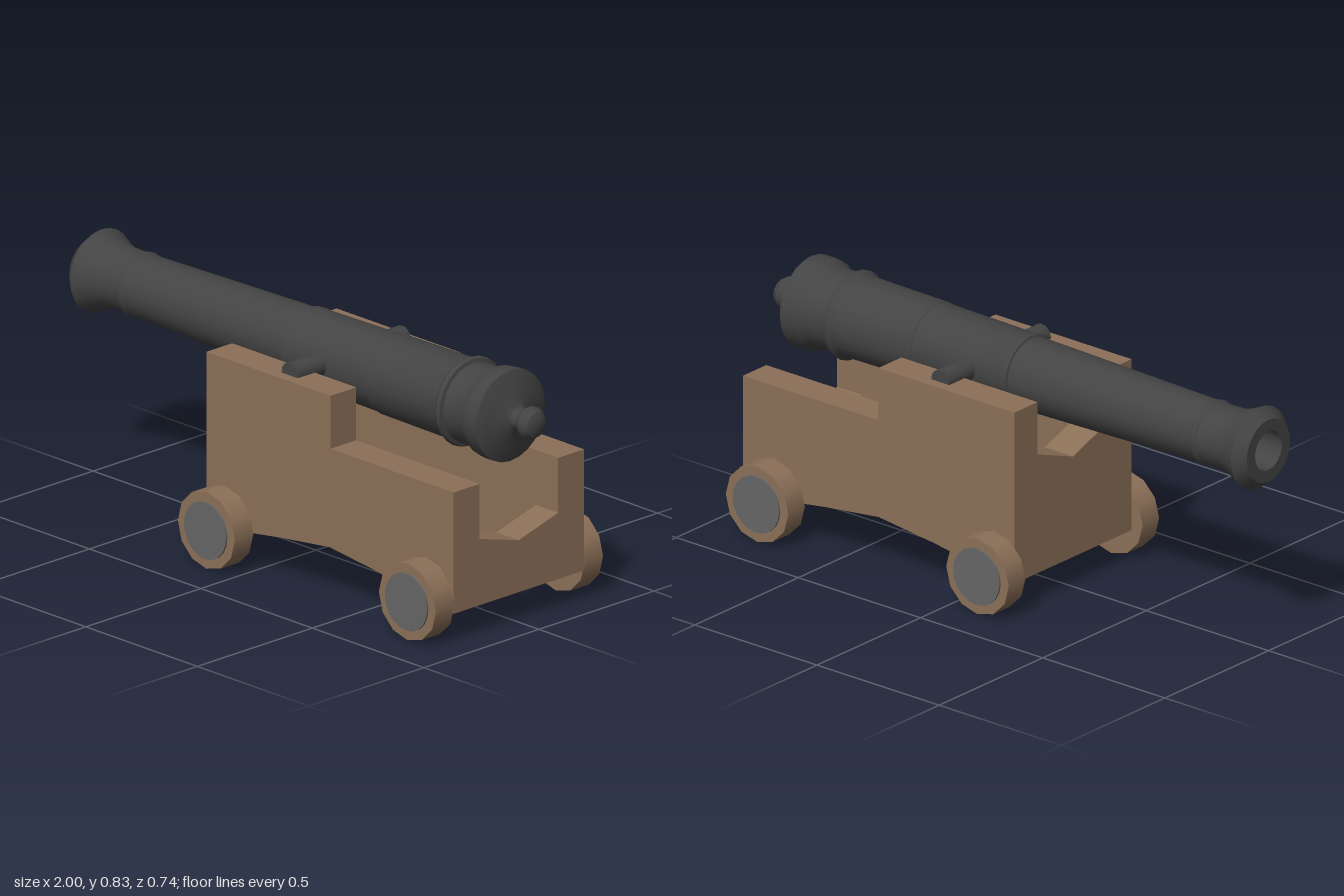
import * as THREE from 'three';
import { toCreasedNormals } from 'three/addons/utils/BufferGeometryUtils.js';

const wood = new THREE.MeshStandardMaterial({ color: 0x8c7058 });
const iron = new THREE.MeshStandardMaterial({ color: 0x444444 });
const hubIron = new THREE.MeshStandardMaterial({ color: 0x666666 });

const FRONT = -0.2, REAR = 0.91, AXIS_Y = 0.677;
const CHEEK_IN = 0.171, CHEEK_OUT = 0.283;

const shapeOf = (pts) => new THREE.Shape(pts.map(([x, y]) => new THREE.Vector2(x, y)));
const extrude = (pts, depth) => new THREE.ExtrudeGeometry(shapeOf(pts), { depth, bevelEnabled: false });

function add(parent, name, geometry, material) {
  const mesh = new THREE.Mesh(geometry, material);
  mesh.name = name;
  parent.add(mesh);
  return mesh;
}

// Cross board between the cheeks, with a V-cut top and an underside following the arch
function crossBoard(x0, x1, edgeY, midY) {
  const w = CHEEK_IN;
  const geo = extrude([[-w, 0.1], [w, 0.1], [w, edgeY], [0, midY], [-w, edgeY]], x1 - x0);
  geo.rotateY(Math.PI / 2).translate(x0, 0, 0);
  const p = geo.attributes.position;
  for (let i = 0; i < p.count; i++) {
    if (p.getY(i) < 0.11) {
      const inset = Math.min(p.getX(i) - FRONT, REAR - p.getX(i));
      p.setY(i, 0.1 + 0.147 * inset);
    }
  }
  geo.computeVertexNormals();
  return geo;
}

function createBarrel() {
  const barrel = new THREE.Group();
  barrel.name = 'barrel';

  // Profile as [position along the barrel, radius], from the bore outwards to the rear knob
  const profile = [
    [-0.4, 0], [-0.4, 0.065], [-1, 0.065], [-1, 0.105],
    [-0.962, 0.137], [-0.91, 0.113], [-0.87, 0.103], [-0.79, 0.101],
    [-0.783, 0.107], [-0.772, 0.107], [-0.765, 0.102], [-0.03, 0.117],
    [-0.028, 0.124], [-0.005, 0.124], [0, 0.122], [0.355, 0.127], [0.357, 0.13],
    [0.67, 0.133], [0.69, 0.147], [0.702, 0.143], [0.705, 0.131],
    [0.785, 0.131], [0.81, 0.148], [0.84, 0.151], [0.872, 0.151],
    [0.888, 0.112], [0.896, 0.06], [0.908, 0.038], [0.93, 0.036],
    [0.945, 0.042], [0.957, 0.052], [0.972, 0.053], [0.978, 0.048], [0.99, 0.042],
    [0.997, 0.025], [1, 0],
  ];
  const body = new THREE.LatheGeometry(profile.map(([x, r]) => new THREE.Vector2(r, x)), 24);
  body.rotateZ(-Math.PI / 2).translate(0, AXIS_Y, 0);
  add(barrel, 'barrelBody', toCreasedNormals(body, 0.6), iron);

  // Pivot pins on either side
  const pins = new THREE.CylinderGeometry(0.037, 0.037, 0.49, 16);
  pins.rotateX(Math.PI / 2).translate(0.135, 0.683, 0);
  add(barrel, 'trunnions', pins, iron);
  return barrel;
}

function createWheel(x, side) {
  const wheel = new THREE.Group();
  wheel.name = 'wheel';
  const disc = new THREE.CylinderGeometry(0.128, 0.128, 0.08, 12).rotateX(Math.PI / 2);
  add(wheel, 'wheelDisc', disc, wood).position.z = side * 0.323;
  const hub = new THREE.CylinderGeometry(0.095, 0.095, 0.03, 20).rotateX(Math.PI / 2);
  add(wheel, 'hubPlate', hub, hubIron).position.z = side * 0.354;
  wheel.position.set(x, 0.128, 0);
  return wheel;
}

export function createModel() {
  const model = new THREE.Group();
  model.name = 'cannon';

  const carriage = new THREE.Group();
  carriage.name = 'carriage';
  model.add(carriage);

  // Stepped side cheeks with an arched underside
  const cheekOutline = [
    [FRONT, 0.1], [0.14, 0.15], [0.355, 0.175], [0.57, 0.15], [REAR, 0.1],
    [REAR, 0.503], [0.357, 0.503], [0.357, 0.679], [FRONT, 0.679],
  ];
  const cheek = extrude(cheekOutline, CHEEK_OUT - CHEEK_IN);
  add(carriage, 'leftCheek', cheek, wood).position.z = CHEEK_IN;
  add(carriage, 'rightCheek', cheek, wood).position.z = -CHEEK_OUT;

  // Boards closing the two ends
  add(carriage, 'muzzleEndBoard', crossBoard(FRONT, -0.085, 0.502, 0.44), wood);
  add(carriage, 'rearEndBoard', crossBoard(0.81, REAR, 0.32, 0.273), wood);

  for (const x of [-0.117, 0.785]) {
    for (const side of [-1, 1]) carriage.add(createWheel(x, side));
  }

  model.add(createBarrel());
  return model;
}
